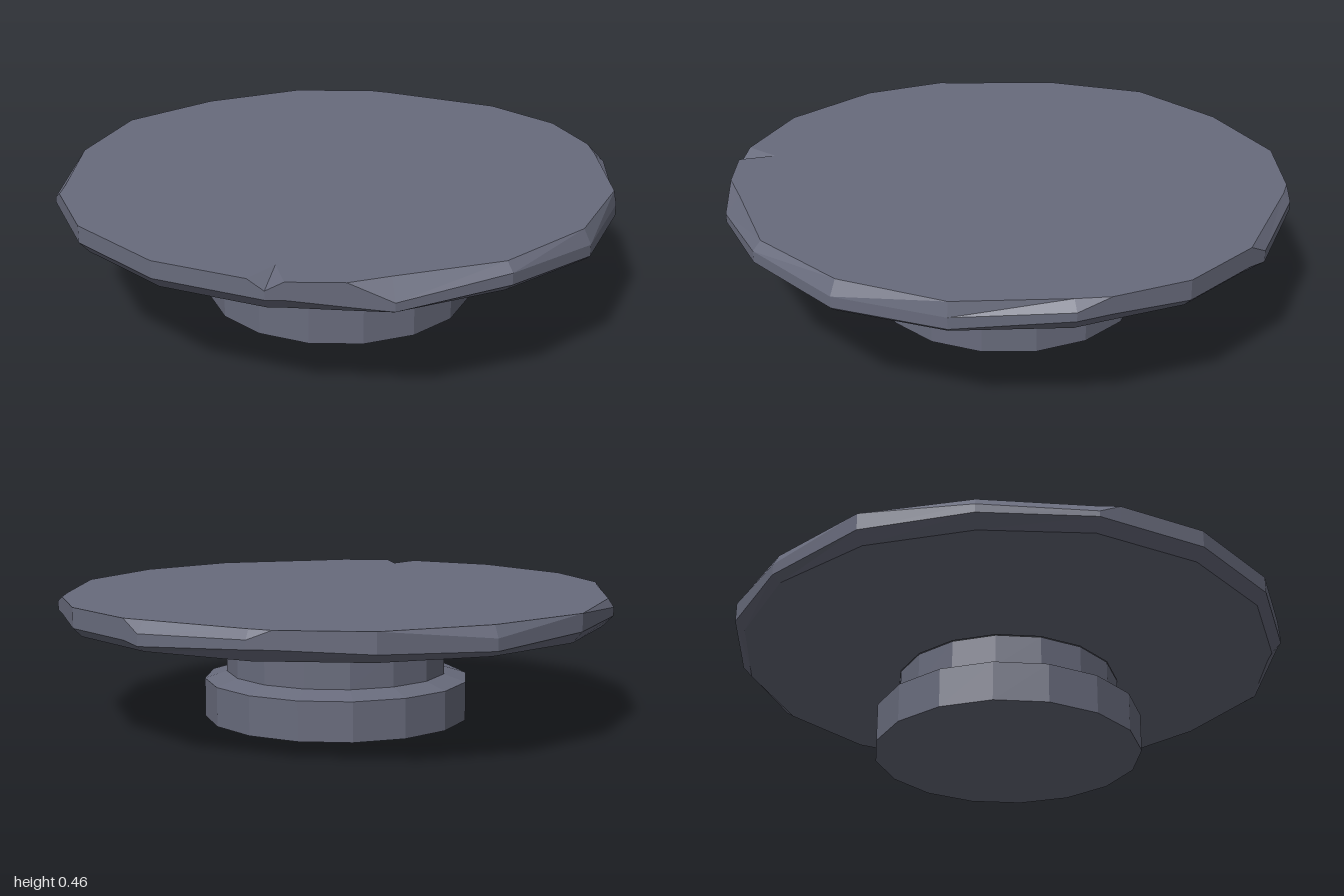
import * as THREE from 'three';

const SIDES = 16;
const STEP = (Math.PI * 2) / SIDES;
const TOP = 0.46;

// Rim stations: [corner index from the front, top radius factor, chip height, lower bevel height, bevel radius factor]
const RIM = [
  [0, 0.87, 0.43, 0.4, 0.965],
  [0.15, 1, TOP, 0.4, 0.965],
  [0.63, 1, TOP, 0.38, 0.98],
  [1, 0.948, 0.395, 0.365, 0.99],
  [2, 0.97, 0.43, 0.39, 0.965],
  [3, 0.973, 0.41, 0.37, 0.99],
  [4, 0.99, 0.41, 0.37, 0.99],
  [5, 0.965, 0.43, 0.4, 0.965],
  [5.3, 1, TOP, 0.4, 0.965],
  [6, 1, TOP, 0.39, 0.97],
  [6.8, 1, TOP, 0.39, 0.97],
  [7, 0.97, 0.42, 0.38, 0.97],
  [8, 0.975, 0.43, 0.4, 0.965],
  [8.2, 1, TOP, 0.4, 0.965],
  [9, 1, TOP, 0.39, 0.965],
  [10, 0.98, 0.42, 0.38, 0.97],
  [11, 1, TOP, 0.4, 0.965],
  [12, 0.98, 0.43, 0.4, 0.96],
  [13, 0.965, 0.42, 0.4, 0.965],
  [13.2, 1, TOP, 0.4, 0.965],
  [14, 1, TOP, 0.4, 0.965],
  [15, 1, TOP, 0.4, 0.965],
  [15.85, 1, TOP, 0.4, 0.965],
];

// Radius of a unit sixteen-sided polygon at a fractional corner index
function polygonRadius(k) {
  const f = (k % 1) * STEP;
  return Math.cos(STEP / 2) / Math.cos(f - STEP / 2);
}

// Rings from the neck, over the bevel and chipped rim, to the centre of the top
function slabGeometry() {
  const columns = RIM.map(([k, top, high, low, bevel]) => {
    const r = polygonRadius(k) * (k === 4 || k === 12 ? 0.988 : 1);
    const at = (radius, y) =>
      new THREE.Vector3(Math.sin(k * STEP) * radius, y, Math.cos(k * STEP) * radius);
    return [
      at(0.4 * polygonRadius(k), 0.28),
      at(r * bevel, 0.36),
      at(r, low),
      at(r, high),
      at(r * top, TOP),
      new THREE.Vector3(0, TOP, 0),
    ];
  });
  const positions = [];
  const addTriangle = (a, b, c) => {
    if (new THREE.Triangle(a, b, c).getArea() < 1e-7) return;
    for (const p of [a, b, c]) positions.push(p.x, p.y, p.z);
  };
  columns.forEach((left, i) => {
    const right = columns[(i + 1) % columns.length];
    for (let j = 0; j < left.length - 1; j++) {
      addTriangle(left[j], right[j], right[j + 1]);
      addTriangle(left[j], right[j + 1], left[j + 1]);
    }
  });
  const geometry = new THREE.BufferGeometry();
  geometry.setAttribute('position', new THREE.Float32BufferAttribute(positions, 3));
  geometry.computeVertexNormals();
  return geometry;
}

export function createModel() {
  const model = new THREE.Group();
  model.name = 'stonePedestal';

  const stone = new THREE.MeshStandardMaterial({ color: 0x686b7c, flatShading: true });
  stone.name = 'slate stone';

  const add = (name, geometry, x = 0, y = 0) => {
    const mesh = new THREE.Mesh(geometry, stone);
    mesh.name = name;
    mesh.position.set(x, y, 0);
    model.add(mesh);
  };

  // Stacked foot: [name, bottom radius, top radius, bottom y, top y, open ended]
  const foot = [
    ['base', 0.48, 0.48, 0, 0.14, false],
    ['baseBevel', 0.48, 0.4, 0.14, 0.165, true],
    ['neck', 0.4, 0.4, 0.165, 0.28, true],
  ];
  for (const [name, r0, r1, y0, y1, open] of foot) {
    add(name, new THREE.CylinderGeometry(r1, r0, y1 - y0, SIDES, 1, open), 0.005, (y0 + y1) / 2);
  }

  // Wide chipped slab
  add('slab', slabGeometry());
  return model;
}
